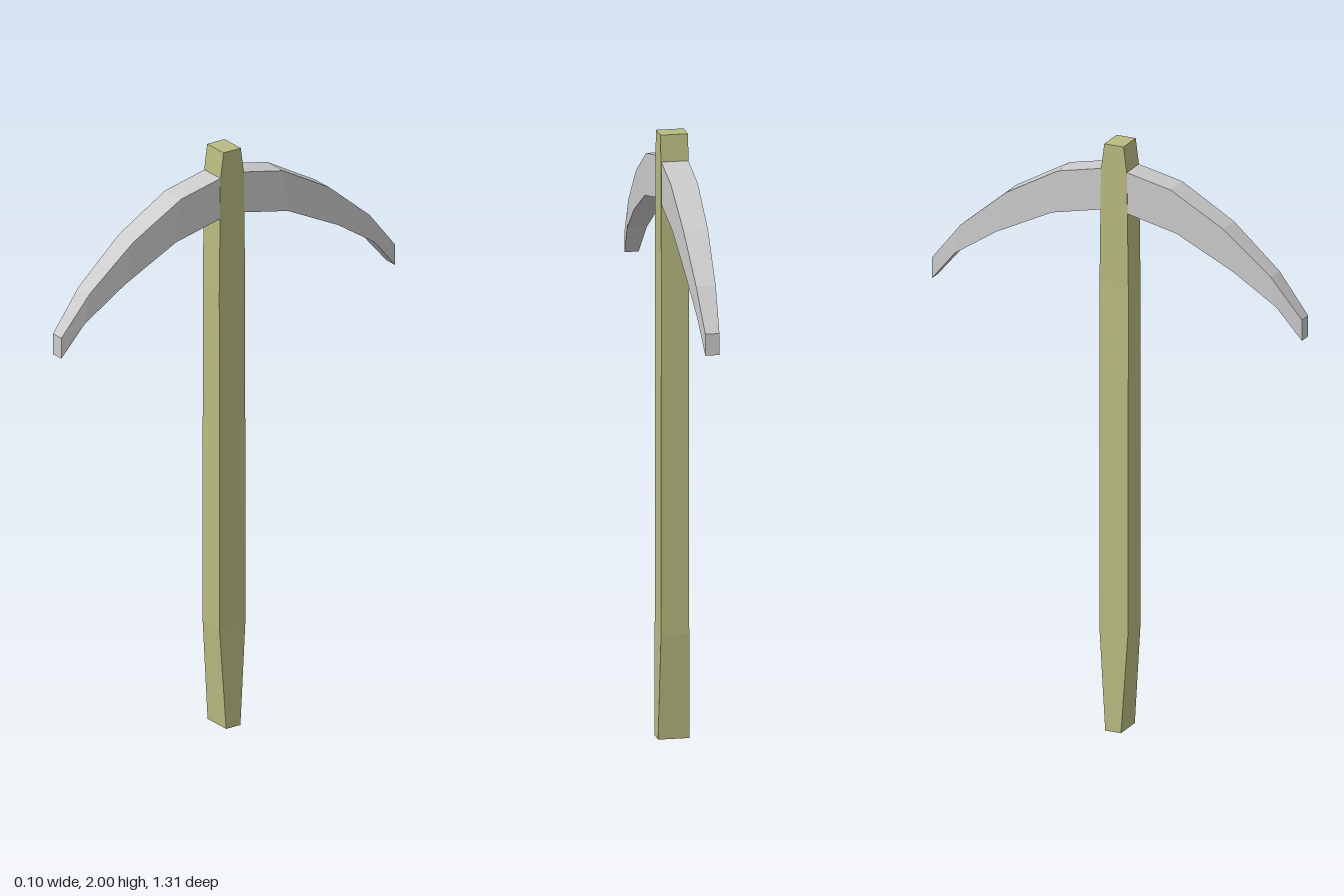
import * as THREE from 'three';

// Skins a row of four-cornered sections (counter-clockwise seen from the end) and caps both ends
function loft(sections) {
  const pos = [];
  const quad = (a, b, c, d) => pos.push(...a, ...b, ...c, ...a, ...c, ...d);
  for (let i = 0; i < sections.length - 1; i++) {
    const s = sections[i], t = sections[i + 1];
    for (let k = 0; k < 4; k++) {
      const n = (k + 1) % 4;
      quad(s[k], s[n], t[n], t[k]);
    }
  }
  quad(...[...sections[0]].reverse());
  quad(...sections[sections.length - 1]);
  const geometry = new THREE.BufferGeometry();
  geometry.setAttribute('position', new THREE.Float32BufferAttribute(pos, 3));
  geometry.computeVertexNormals();
  return geometry;
}

function part(name, geometry, color) {
  const mesh = new THREE.Mesh(geometry, new THREE.MeshStandardMaterial({ color, flatShading: true }));
  mesh.name = name;
  return mesh;
}

export function createModel() {
  const model = new THREE.Group();
  model.name = 'pickaxe';

  // Wooden shaft: [height, half width, half depth]
  const shaft = [
    [0, 0.051, 0.028], [0.35, 0.046, 0.051], [1.52, 0.045, 0.051],
    [1.91, 0.045, 0.046], [2, 0.045, 0.034],
  ].map(([y, x, z]) => [[-x, y, z], [x, y, z], [x, y, -z], [-x, y, -z]]);
  model.add(part('handle', loft(shaft), 0xb9bb80));

  // Curved head, one half: [top z, top y, bottom z, bottom y, half width]
  const half = [
    [0.04, 1.915, 0.04, 1.775, 0.044], [0.2, 1.88, 0.22, 1.735, 0.044],
    [0.385, 1.775, 0.42, 1.635, 0.04], [0.55, 1.635, 0.57, 1.535, 0.032],
    [0.656, 1.503, 0.656, 1.432, 0.023],
  ];
  const mirrored = half.map(([zt, yt, zb, yb, x]) => [-zt, yt, -zb, yb, x]).reverse();
  const head = [...mirrored, ...half].map(([zt, yt, zb, yb, x]) =>
    [[-x, yb, zb], [x, yb, zb], [x, yt, zt], [-x, yt, zt]]);
  model.add(part('pickHead', loft(head), 0xcccccc));

  return model;
}
